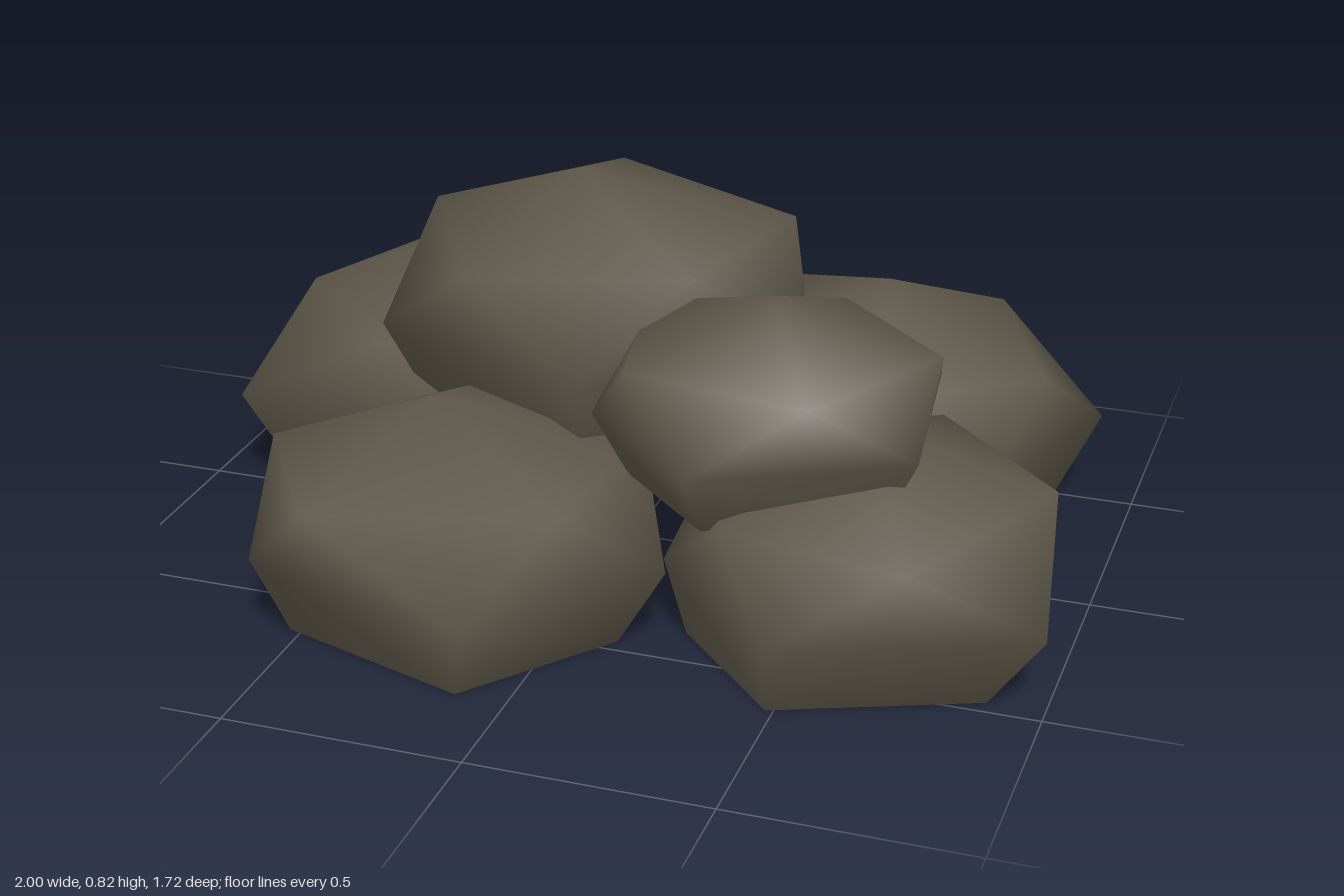
import * as THREE from 'three';

const stone = new THREE.MeshStandardMaterial({ color: 0x5c5648, side: THREE.DoubleSide });
stone.name = 'darkStone';

const FOOT_INSET = 0.2;

// A boulder: a peak, two staggered five-sided rings and an open, cut-off foot
// whose corners lean in towards the point "under" (x, z).
function boulder({ name, base, under, peak, upperY, upper, lowerY, lower }) {
  const ring = (plan, y) => plan.map(([x, z]) => new THREE.Vector3(x, y, z));
  const foot = ring(lower, base);
  const pole = new THREE.Vector3(under[0], base, under[1]);
  foot.forEach((p) => p.lerp(pole, FOOT_INSET));
  const points = [new THREE.Vector3(...peak), ...ring(upper, upperY), ...ring(lower, lowerY), ...foot];

  // Shell from the peak down to the foot
  const index = [];
  const U = (i) => 1 + (i % 5);
  const L = (i) => 6 + (i % 5);
  const F = (i) => 11 + (i % 5);
  for (let i = 0; i < 5; i++) {
    index.push(0, U(i + 1), U(i));
    index.push(U(i), U(i + 1), L(i), L(i), U(i + 1), L(i + 1));
    index.push(L(i), L(i + 1), F(i), F(i), L(i + 1), F(i + 1));
  }

  const geometry = new THREE.BufferGeometry().setFromPoints(points);
  geometry.setIndex(index);
  geometry.computeVertexNormals();
  const mesh = new THREE.Mesh(geometry, stone);
  mesh.name = name;
  return mesh;
}

export function createModel() {
  const group = new THREE.Group();
  group.name = 'rockPile';

  // Four boulders resting on the ground
  group.add(boulder({
    name: 'backRightBoulder', base: 0, under: [-0.4, -0.35], peak: [-0.45, 0.56, -0.35],
    upperY: 0.42, upper: [[-0.05, -0.1], [-0.55, 0.1], [-0.83, -0.2], [-0.6, -0.76], [-0.11, -0.67]],
    lowerY: 0.23, lower: [[-0.25, 0.21], [-0.9, 0.06], [-1, -0.53], [-0.39, -0.83], [0.03, -0.48]],
  }));
  group.add(boulder({
    name: 'backLeftBoulder', base: 0, under: [0.45, -0.48], peak: [0.45, 0.5, -0.42],
    upperY: 0.37, upper: [[0.83, -0.28], [0.5, -0.07], [0.1, -0.3], [0.16, -0.7], [0.65, -0.7]],
    lowerY: 0.2, lower: [[0.76, -0.09], [0.25, 0], [0.01, -0.51], [0.4, -0.86], [0.92, -0.51]],
  }));
  group.add(boulder({
    name: 'frontRightBoulder', base: 0, under: [-0.3, 0.4], peak: [-0.29, 0.46, 0.4],
    upperY: 0.335, upper: [[0.09, 0.2], [0.06, 0.6], [-0.43, 0.76], [-0.64, 0.43], [-0.3, 0]],
    lowerY: 0.18, lower: [[0.23, 0.48], [-0.06, 0.86], [-0.58, 0.69], [-0.61, 0.16], [0, 0]],
  }));
  group.add(boulder({
    name: 'frontLeftBoulder', base: 0, under: [0.42, 0.32], peak: [0.58, 0.44, 0.21],
    upperY: 0.335, upper: [[0.95, 0.18], [0.75, 0.62], [0.36, 0.56], [0.25, 0.12], [0.65, -0.11]],
    lowerY: 0.17, lower: [[1, 0.5], [0.5, 0.71], [0.2, 0.4], [0.4, -0.08], [0.88, -0.07]],
  }));

  // Two boulders stacked on top
  group.add(boulder({
    name: 'topLargeBoulder', base: 0.3, under: [-0.08, -0.08], peak: [-0.13, 0.82, -0.03],
    upperY: 0.685, upper: [[0.19, 0.17], [-0.26, 0.31], [-0.49, -0.12], [-0.19, -0.49], [0.28, -0.25]],
    lowerY: 0.49, lower: [[0, 0.37], [-0.51, 0.15], [-0.42, -0.48], [0.15, -0.51], [0.36, -0.09]],
  }));
  group.add(boulder({
    name: 'topSmallBoulder', base: 0.31, under: [0.38, 0.23], peak: [0.38, 0.71, 0.26],
    upperY: 0.6, upper: [[0.71, 0.2], [0.53, 0.53], [0.14, 0.47], [0.07, 0.1], [0.45, -0.04]],
    lowerY: 0.445, lower: [[0.71, 0.38], [0.3, 0.6], [0.03, 0.35], [0.3, -0.14], [0.65, -0.07]],
  }));
  return group;
}
